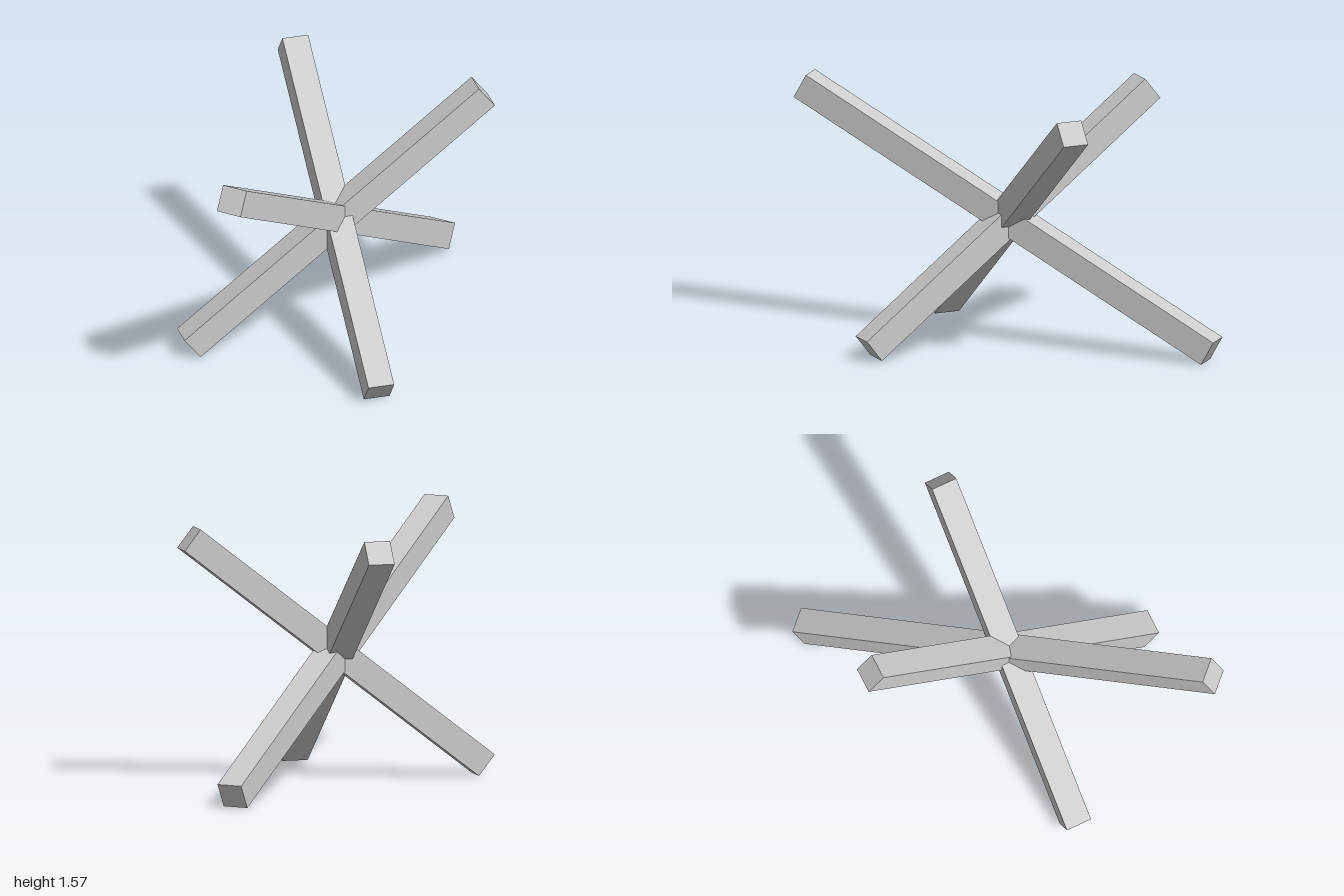
import * as THREE from 'three';

export function createModel() {
  const group = new THREE.Group();
  const grey = new THREE.MeshStandardMaterial({ color: 0xcccccc });
  grey.name = 'grey';

  const width = 0.16;
  const centre = new THREE.Vector3(0, 0.785, 0);
  const up = new THREE.Vector3(0, 1, 0);

  // Square bar through the centre; tip is the offset from the centre to its upper end
  function addBar(name, tip) {
    const geometry = new THREE.BoxGeometry(width, width, tip.length() * 2);
    const along = tip.clone().normalize();
    const side = new THREE.Vector3().crossVectors(up, along).normalize();
    const top = new THREE.Vector3().crossVectors(along, side);
    const bar = new THREE.Mesh(geometry, grey);
    bar.name = name;
    bar.quaternion.setFromRotationMatrix(new THREE.Matrix4().makeBasis(side, top, along));
    bar.position.copy(centre);
    group.add(bar);
  }

  // Three crossed bars, one per direction
  const reach = 0.914, rise = 0.713;
  addBar('sidewaysBar', new THREE.Vector3(reach, rise, 0));
  addBar('frontToBackBar', new THREE.Vector3(0, rise, -reach));
  addBar('diagonalBar', new THREE.Vector3(-reach, rise, reach));

  return group;
}
